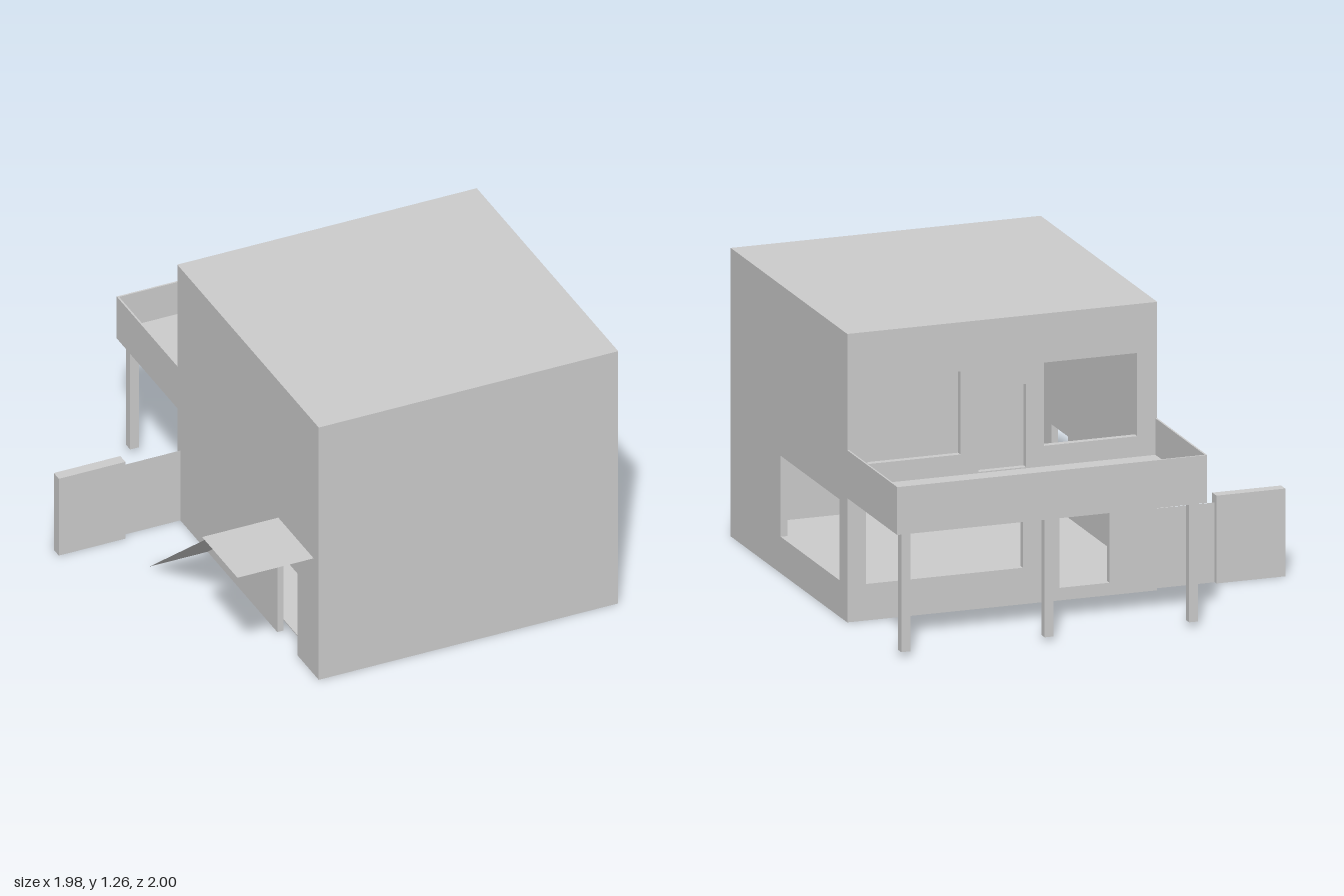
import * as THREE from 'three';

const T = 0.03;                       // wall thickness
const X0 = -0.41, X1 = 0.985;         // house sides
const Z0 = -0.4, Z1 = 1.0;            // house back and front
const ROOF = 1.265, FLOOR = 0.055;

const solid = new THREE.MeshStandardMaterial({ color: 0xcccccc, flatShading: true });
const sheet = new THREE.MeshStandardMaterial({ color: 0xcccccc, flatShading: true, side: THREE.DoubleSide });

// Box given by its low and high limits on each axis
function block(name, x0, x1, y0, y1, z0, z1) {
  const mesh = new THREE.Mesh(new THREE.BoxGeometry(x1 - x0, y1 - y0, z1 - z0), solid);
  mesh.position.set((x0 + x1) / 2, (y0 + y1) / 2, (z0 + z1) / 2);
  mesh.name = name;
  return mesh;
}

// Thin four-cornered sheet
function quad(name, a, b, c, d) {
  const g = new THREE.BufferGeometry();
  g.setAttribute('position', new THREE.Float32BufferAttribute([...a, ...b, ...c, ...d], 3));
  g.setIndex([0, 1, 2, 0, 2, 3]);
  g.computeVertexNormals();
  const mesh = new THREE.Mesh(g, sheet);
  mesh.name = name;
  return mesh;
}

// Upright wall from a to b; holes are [a0, a1, y0, y1], notch is [a0, a1, y1] open at the ground
function wall(name, a, b, holes = [], notch = null) {
  const pts = [[a, 0]];
  if (notch) pts.push([notch[0], 0], [notch[0], notch[2]], [notch[1], notch[2]], [notch[1], 0]);
  pts.push([b, 0], [b, ROOF - T], [a, ROOF - T]);
  const shape = new THREE.Shape(pts.map(p => new THREE.Vector2(...p)));
  for (const [h0, h1, y0, y1] of holes) {
    shape.holes.push(new THREE.Path([[h0, y0], [h0, y1], [h1, y1], [h1, y0]].map(p => new THREE.Vector2(...p))));
  }
  const mesh = new THREE.Mesh(new THREE.ExtrudeGeometry(shape, { depth: T, bevelEnabled: false }), solid);
  mesh.name = name;
  return mesh;
}

export function createModel() {
  const model = new THREE.Group();
  model.name = 'house';

  // Hollow main block
  const front = wall('frontWall', X0 + T, X1 - T);
  front.position.z = Z1 - T;

  const back = wall('backWall', X0 + T, X1 - T, [
    [0.195, 0.9, 0.16, 0.515],        // ground window
    [-0.195, 0.03, FLOOR, 0.42],      // ground door
    [0.475, 0.895, 0.685, 1.05],      // upper windows
    [-0.32, 0.1, 0.685, 1.05],
    [0.18, 0.395, 0.6, 0.965],        // balcony door
  ]);
  back.position.z = Z0;

  const left = wall('leftWall', Z0, Z1, [[-0.305, 0.4, 0.16, 0.515]]);
  left.rotation.y = -Math.PI / 2;
  left.position.x = X1;

  const right = wall('rightWall', Z0, Z1, [], [0.59, 0.79, 0.41]);
  right.rotation.y = -Math.PI / 2;
  right.position.x = X0 + T;

  model.add(front, back, left, right);
  model.add(block('roof', X0, X1, ROOF - T, ROOF, Z0, Z1));
  model.add(block('floor', X0 + T, X1 - T, FLOOR - 0.005, FLOOR, Z0 + T, Z1 - T));

  // Balcony with thin parapets on posts
  const balcony = new THREE.Group();
  balcony.name = 'balcony';
  const P = 0.008, low = 0.545, high = 0.755;
  balcony.add(
    block('balconyFloor', X0 + P, X1 - P, low, 0.595, -1 + P, Z0),
    block('backParapet', X0, X1, low, high, -1, -1 + P),
    block('rightParapet', X0, X0 + P, low, high, -1 + P, Z0),
    block('leftParapet', X1 - P, X1, low, high, -1 + P, Z0)
  );
  for (const x of [-0.36, 0.29, 0.935]) {
    balcony.add(block('balconyPost', x - 0.02, x + 0.02, 0.02, low, -0.97, -0.93));
  }
  model.add(balcony);

  // Side ramp and its landing
  const H = 0.58, R = -0.68;
  model.add(
    quad('ramp', [R, 0, -0.1], [R, H, 0.6], [X0, H, 0.6], [X0, 0, -0.1]),
    quad('landing', [-0.765, H, 0.6], [-0.765, H, 0.95], [X0, H, 0.95], [X0, H, 0.6])
  );

  // Fence beside the house
  model.add(
    block('fencePanel', -0.99, R, 0, 0.385, -0.39, -0.34),
    quad('gate', [R, 0, -0.37], [R, 0.35, -0.37], [X0, 0.35, -0.37], [X0, 0, -0.37])
  );

  return model;
}
